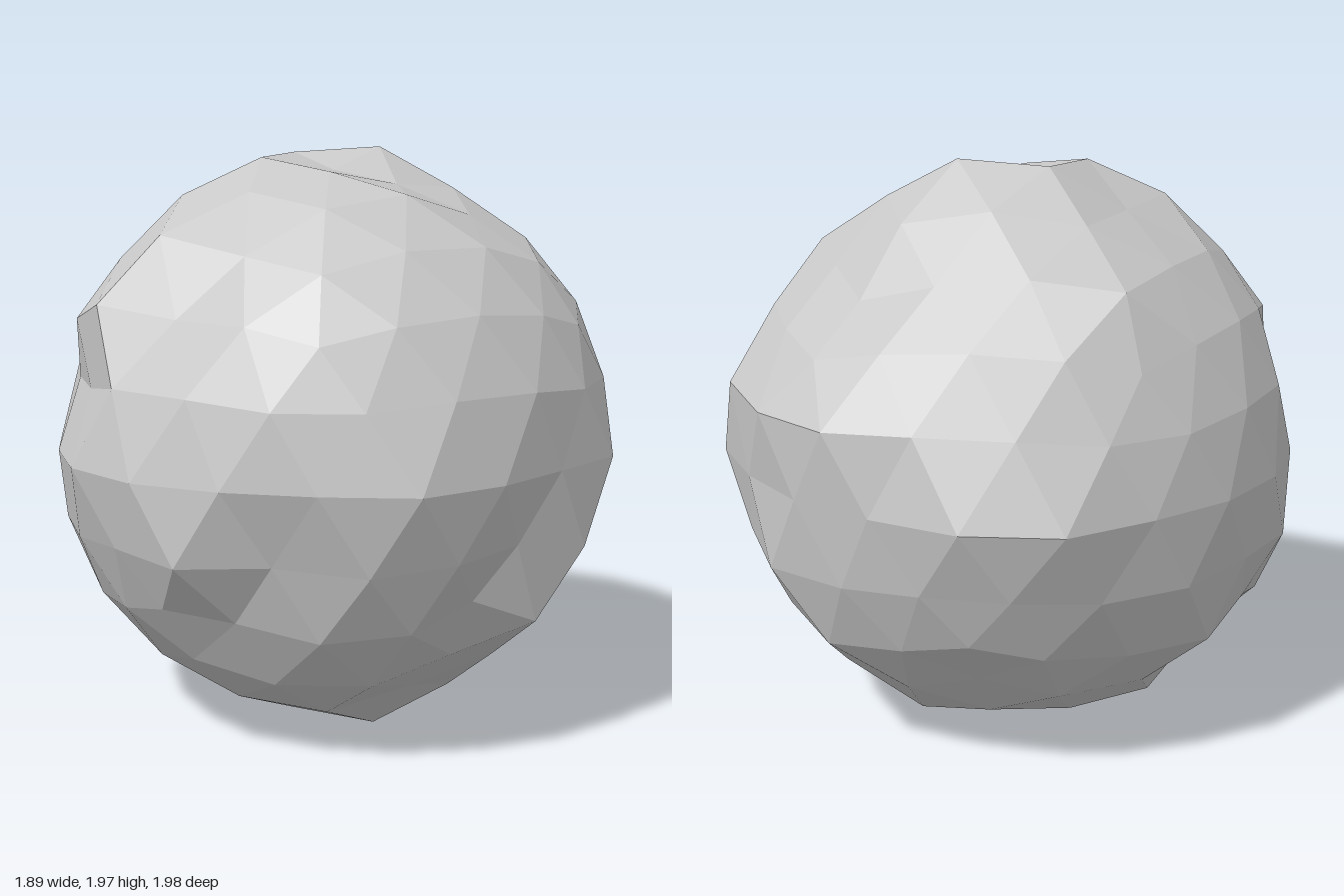
import * as THREE from 'three';

const rad = THREE.MathUtils.degToRad;

// Unit direction from latitude and azimuth (0 = front, 90 = the model's left)
function direction(lat, az) {
  const c = Math.cos(rad(lat));
  return new THREE.Vector3(c * Math.sin(rad(az)), Math.sin(rad(lat)), c * Math.cos(rad(az)));
}

// Lumps and dents, one belt of latitude per line: [azimuth, height] pairs
const LUMPS = [
  [90, [[0, -0.05]]],
  [75, [[113, -0.05], [185, 0.075], [257, 0.05], [329, 0.04]]],
  [58, [[113, -0.04], [293, -0.05], [329, 0.03]]],
  [44, [[353, 0.05], [17, -0.03], [160, -0.05], [185, -0.06], [208, -0.05], [257, 0.05]]],
  [28, [[329, 0.04], [347, 0.06], [5, -0.06]]],
  [15, [[158, 0.06], [176, 0.06], [194, 0.05], [320, -0.06], [338, -0.07]]],
  [0, [[5, 0.03], [59, 0.05], [95, -0.03], [113, 0.03], [131, -0.04], [149, 0.04], [221, 0.05], [239, 0.07], [347, 0.04]]],
  [-15, [[14, 0.05], [32, -0.06], [86, -0.06], [104, 0.03], [122, -0.04], [176, 0.04], [302, 0.03]]],
  [-29, [[23, -0.05], [77, -0.06], [95, 0.06], [113, -0.04], [185, 0.04], [275, 0.05], [311, 0.04]]],
  [-44, [[88, -0.05], [221, -0.04], [300, -0.06]]],
  [-59, [[77, -0.05], [185, 0.05], [293, 0.05]]],
  [-75, [[77, 0.06], [149, -0.05], [293, 0.04]]],
  [-90, [[0, -0.05]]],
];

export function createModel() {
  const group = new THREE.Group();
  group.name = 'boulder';
  const stone = new THREE.MeshStandardMaterial({ color: 0xc8c8c8, flatShading: true });
  stone.name = 'stone grey';

  // Faceted ball with a corner at each pole, turned to the lie of the rock
  const geo = new THREE.IcosahedronGeometry(1, 3);
  geo.rotateX(-Math.atan2(0.8507, 0.5257));
  geo.rotateY(rad(40.7));

  // Push each corner in or out along its own direction
  const spots = LUMPS.flatMap(([lat, list]) => list.map(([az, h]) => ({ dir: direction(lat, az), h })));
  const pos = geo.attributes.position;
  const v = new THREE.Vector3();
  const spread = rad(7);
  for (let i = 0; i < pos.count; i++) {
    v.fromBufferAttribute(pos, i).normalize();
    let r = 0.96;
    for (const { dir, h } of spots) {
      const a = v.angleTo(dir) / spread;
      r += h * Math.exp(-0.5 * a * a);
    }
    v.multiplyScalar(r);
    pos.setXYZ(i, v.x, v.y, v.z);
  }

  // Rest on the ground, centred
  geo.computeBoundingBox();
  const box = geo.boundingBox;
  const mid = box.getCenter(new THREE.Vector3());
  geo.translate(-mid.x, -box.min.y, -mid.z);
  geo.computeVertexNormals();

  const rock = new THREE.Mesh(geo, stone);
  rock.name = 'rock';
  group.add(rock);
  return group;
}
